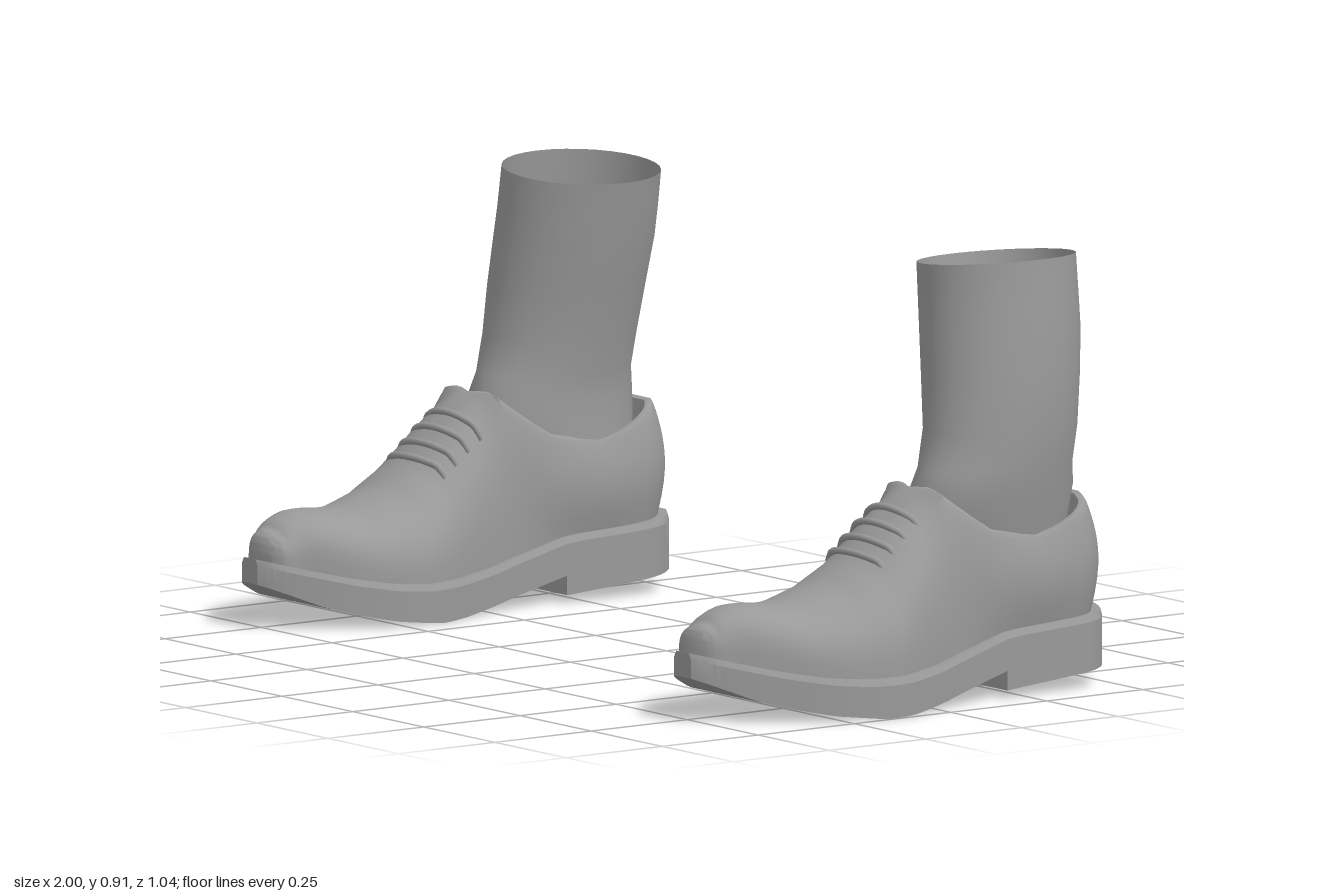
import * as THREE from 'three';
import { toCreasedNormals } from 'three/addons/utils/BufferGeometryUtils.js';

const CX = 0.775; // centre line of one shoe

// Sole outline as [z, inner x, outer x], toe to heel
const OUTLINE = [
  [0.52, 0.735, 0.79], [0.5, 0.705, 0.815], [0.46, 0.67, 0.85], [0.38, 0.62, 0.9],
  [0.28, 0.58, 0.955], [0.2, 0.565, 0.985], [0.12, 0.575, 1], [0.05, 0.595, 0.985],
  [-0.05, 0.618, 0.955], [-0.2, 0.62, 0.93], [-0.36, 0.61, 0.925], [-0.44, 0.62, 0.915],
  [-0.49, 0.655, 0.87], [-0.52, 0.7, 0.8],
];
// Heights along z as [z, y], front to back
const WELT = [[0.52, 0.147], [0.44, 0.126], [0.354, 0.105], [0.27, 0.09], [0.185, 0.083], [0.09, 0.085],
  [-0.01, 0.094], [-0.11, 0.117], [-0.21, 0.142], [-0.52, 0.159]];
const TREAD = [[0.52, 0.094], [0.41, 0.046], [0.34, 0.027], [0.27, 0.0126], [0.157, 0], [0.08, 0.004],
  [-0.01, 0.015], [-0.1, 0.035], [-0.215, 0.063], [-0.52, 0.08]];
const RIDGE = [[0.49, 0.165], [0.485, 0.184], [0.457, 0.218], [0.43, 0.231], [0.4, 0.237], [0.353, 0.236],
  [0.31, 0.231], [0.275, 0.232], [0.24, 0.24], [0.17, 0.263], [0.1, 0.308], [0.017, 0.385], [-0.04, 0.432], [-0.067, 0.453]];
const COLLAR = [[-0.067, 0.453], [-0.1, 0.425], [-0.18, 0.362], [-0.24, 0.343], [-0.295, 0.335],
  [-0.36, 0.352], [-0.43, 0.38], [-0.48, 0.397]];
// Sock rings as [y, centre x, centre z, radius x, radius z], top to bottom
const SOCK = [
  [0.9, 0.73, -0.318, 0.157, 0.172], [0.82, 0.74, -0.316, 0.155, 0.175], [0.75, 0.75, -0.313, 0.153, 0.177],
  [0.65, 0.764, -0.304, 0.144, 0.177], [0.55, 0.775, -0.295, 0.135, 0.175], [0.47, 0.777, -0.28, 0.125, 0.18],
  [0.42, 0.776, -0.268, 0.119, 0.197], [0.32, 0.76, -0.28, 0.116, 0.175], [0.2, 0.745, -0.3, 0.109, 0.137],
];

const lerp = THREE.MathUtils.lerp;
const smooth = (x) => THREE.MathUtils.smoothstep(x, 0, 1);

function lookup(table, z) {
  if (z >= table[0][0]) return table[0][1];
  for (let i = 1; i < table.length; i++) {
    const [z0, y0] = table[i - 1], [z1, y1] = table[i];
    if (z >= z1) return lerp(y0, y1, (z - z0) / (z1 - z0));
  }
  return table[table.length - 1][1];
}

// Skin closed rings of points; side -1 mirrors across x
function loft(rows, side, caps, crease) {
  const pos = [];
  const va = new THREE.Vector3(), vb = new THREE.Vector3();
  const tri = (a, b, c) => {
    va.set(b[0] - a[0], b[1] - a[1], b[2] - a[2]);
    vb.set(c[0] - a[0], c[1] - a[1], c[2] - a[2]);
    if (va.cross(vb).length() < 1e-9) return;
    for (const p of side > 0 ? [a, b, c] : [a, c, b]) pos.push(side * p[0], p[1], p[2]);
  };
  const n = rows[0].length;
  for (let i = 0; i + 1 < rows.length; i++) {
    for (let j = 0; j < n; j++) {
      const k = (j + 1) % n;
      tri(rows[i][j], rows[i + 1][j], rows[i][k]);
      tri(rows[i + 1][j], rows[i + 1][k], rows[i][k]);
    }
  }
  if (caps) {
    const first = rows[0], last = rows[rows.length - 1];
    for (let j = 1; j + 1 < n; j++) {
      tri(first[0], first[j], first[j + 1]);
      tri(last[0], last[j + 1], last[j]);
    }
  }
  const geo = new THREE.BufferGeometry();
  geo.setAttribute('position', new THREE.Float32BufferAttribute(pos, 3));
  return toCreasedNormals(geo, crease);
}

// Smooth outline stations with matching z on both sides
const innerCurve = new THREE.SplineCurve(OUTLINE.map(([z, a]) => new THREE.Vector2(a, z)));
const outerCurve = new THREE.SplineCurve(OUTLINE.map(([z, , b]) => new THREE.Vector2(b, z)));
const STEPS = (OUTLINE.length - 1) * 4;
const STATIONS = Array.from({ length: STEPS + 1 }, (_, i) => {
  const p = innerCurve.getPoint(i / STEPS), q = outerCurve.getPoint(i / STEPS);
  return { z: p.y, inner: p.x, outer: q.x };
});

// Slab following the outline, with a bevelled top edge
const slab = (stations, low, high) => stations.map(({ z, inner, outer }) => [
  [outer, low(z), z], [outer, high(z) - 0.013, z], [outer - 0.007, high(z), z],
  [inner + 0.007, high(z), z], [inner, high(z) - 0.013, z], [inner, low(z), z],
]);

// One vertical section of the upper, from collar lining or ridge down to the welt
function upperSection(x0, z0) {
  const toe = smooth((z0 - 0.44) / 0.08) ** 2;
  const x = CX + (x0 - CX) * (0.89 + 0.4 * toe), z = z0 * 0.955;
  const yBase = lookup(WELT, z) - 0.004;
  const v = THREE.MathUtils.clamp((-0.03 - z) / 0.465, 0, 1);
  const rear = smooth(v * 2.5);
  const boxy = lerp(0.8, 0.62, smooth((z - 0.2) / 0.2));
  let tx = CX, ty, tz;
  if (v > 0) {
    tx = lerp(CX, CX + (x - CX) * 0.94, Math.sqrt(Math.min(1, v / 0.3)));
    tz = lerp(-0.067, z + 0.014, smooth(v * 3));
    ty = lookup(COLLAR, tz) - 0.015 * Math.sin(Math.PI * Math.min(1, v / 0.4));
  } else {
    tz = Math.min(z - 0.037 * smooth((0.1 - z) / 0.13), 0.47);
    ty = lookup(RIDGE, tz);
  }
  const out = new THREE.Vector2(tx - CX, tz + 0.27).normalize();
  const fold = v > 0 ? 1 : 0;
  const section = [[0.022, 0.07], [0.012, 0.004]].map(([d, drop]) =>
    [tx - out.x * d * fold, ty - drop * fold, tz - out.y * d * fold]);
  const K = 14;
  for (let k = K; k >= 0; k--) {
    const a = (k / K) * Math.PI / 2;
    const f = 1 - Math.cos(a), g = Math.sin(a) ** boxy;
    const bulge = 0.018 * rear * Math.sin(Math.PI * g);
    section.push([lerp(x, tx, f) + out.x * bulge, lerp(yBase, ty, g), lerp(z, tz, f) + out.y * bulge]);
  }
  return section;
}

function upperRows() {
  const sections = [
    ...STATIONS.map((s) => upperSection(s.outer, s.z)),
    ...[...STATIONS].reverse().map((s) => upperSection(s.inner, s.z)),
  ];
  return sections[0].map((_, r) => sections.map((s) => s[r]));
}

function sockRows() {
  const N = 32;
  return SOCK.map(([y, cx, cz, rx, rz], i) => Array.from({ length: N }, (_, j) => {
    const a = (j / N) * Math.PI * 2;
    const tilt = i === 0 ? 0.014 * Math.cos(a) : 0; // rim rises on the outer side
    return [cx + rx * Math.cos(a), y + tilt, cz - rz * Math.sin(a)];
  }));
}

// Lace arching over the instep
function laceGeometry(zTop, side) {
  const pts = [];
  for (let i = -5; i <= 5; i++) {
    const d = (i / 5) * 0.102;
    const z = zTop - 0.02 * (i / 5) ** 2;
    const base = lookup(WELT, z), top = lookup(RIDGE, z);
    const y = base + (top - base) * (1 - (d / 0.17) ** 2) ** 0.4;
    const lift = Math.abs(i) === 5 ? -0.006 : 0.007;
    pts.push(new THREE.Vector3(side * (CX + d), y + lift, z));
  }
  return new THREE.TubeGeometry(new THREE.CatmullRomCurve3(pts), 24, 0.008, 8);
}

export function createModel() {
  const model = new THREE.Group();
  const solid = new THREE.MeshStandardMaterial({ color: 0x999999 });
  const open = new THREE.MeshStandardMaterial({ color: 0x999999, side: THREE.DoubleSide });

  for (const side of [1, -1]) {
    const shoe = new THREE.Group();
    shoe.name = side > 0 ? 'leftShoe' : 'rightShoe';
    const add = (name, geo, mat) => {
      const mesh = new THREE.Mesh(geo, mat);
      mesh.name = name;
      shoe.add(mesh);
    };
    const tread = (z) => lookup(TREAD, z);
    add('sole', loft(slab(STATIONS, tread, (z) => lookup(WELT, z)), side, true, 0.4), solid);

    // Heel block under the rear of the sole
    const heelBottom = (z) => lerp(0.018, 0.044, (-0.2 - z) / 0.32);
    const heelStations = STATIONS.filter((s) => s.z < -0.199);
    add('heel', loft(slab(heelStations, heelBottom, (z) => tread(z) + 0.015), side, true, 0.4), solid);

    add('upper', loft(upperRows(), side, false, 0.9), open);
    add('sock', loft(sockRows(), side, false, 1), open);
    for (const z of [0.095, 0.065, 0.033, 0.0]) add('lace', laceGeometry(z, side), solid);
    model.add(shoe);
  }
  return model;
}
